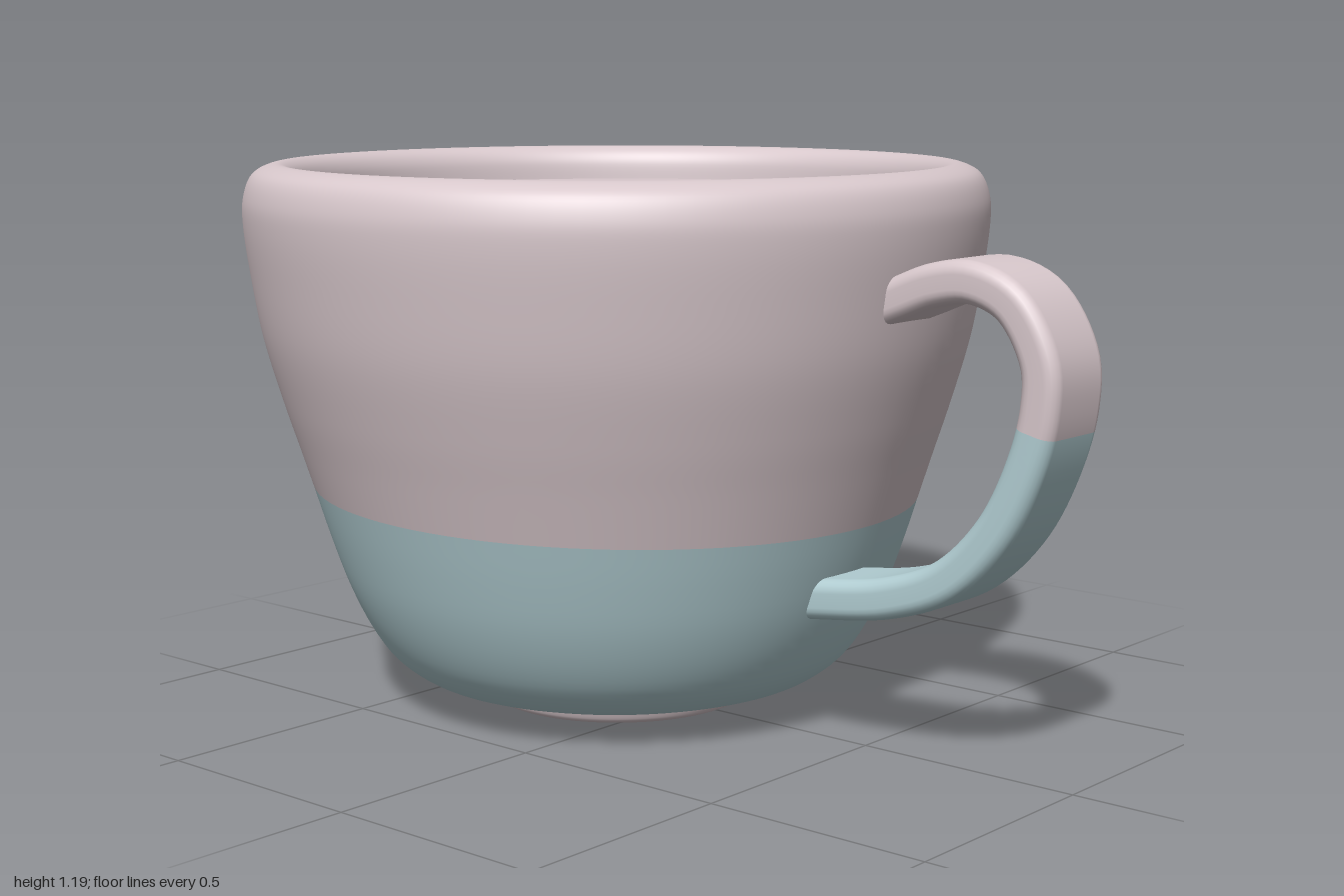
import * as THREE from 'three';

const CUP_X = -0.19; // axis of the cup body
const SEGMENTS = 96;

const spline = (pts, n) => new THREE.SplineCurve(pts.map(([x, y]) => new THREE.Vector2(x, y))).getPoints(n);
const points = (pts) => pts.map(([x, y]) => new THREE.Vector2(x, y));

function lathe(name, profile, material) {
  const mesh = new THREE.Mesh(new THREE.LatheGeometry(profile, SEGMENTS), material);
  mesh.name = name;
  mesh.position.x = CUP_X;
  return mesh;
}

// The line between the two glazes dips slightly towards the handle:
// slide the ring at height y along the wall slope.
function tiltRing(mesh, y, wallSlope) {
  const pos = mesh.geometry.attributes.position;
  for (let i = 0; i < pos.count; i++) {
    if (Math.abs(pos.getY(i) - y) > 1e-4) continue;
    const x = pos.getX(i), z = pos.getZ(i), r = Math.hypot(x, z);
    const dy = -0.031 * x;
    const k = (r + dy * wallSlope) / r;
    pos.setXYZ(i, x * k, y + dy, z * k);
  }
}

// Rounded-rectangle band swept along a path in the XY plane, coloured in two stretches
function handleGeometry(path, halfThick, halfWidth, radius, splitY) {
  const section = [];
  for (let q = 0; q < 4; q++) {
    const sx = q === 0 || q === 3 ? 1 : -1, sz = q < 2 ? 1 : -1;
    for (let k = 0; k <= 5; k++) {
      const a = (q + k / 5) * Math.PI / 2;
      section.push([sx * (halfThick - radius) + radius * Math.cos(a), sz * (halfWidth - radius) + radius * Math.sin(a)]);
    }
  }
  const steps = 72, m = section.length, position = [], index = [];
  // Put one ring exactly at the colour change
  let lo = 0.3, hi = 1;
  for (let i = 0; i < 40; i++) {
    const mid = (lo + hi) / 2;
    if (path.getPointAt(mid).y > splitY) lo = mid; else hi = mid;
  }
  const half = steps / 2;
  for (let i = 0; i <= steps; i++) {
    const u = i <= half ? lo * i / half : lo + (1 - lo) * (i - half) / half;
    const p = path.getPointAt(u), t = path.getTangentAt(u);
    for (const [n, z] of section) position.push(p.x - t.y * n, p.y + t.x * n, z);
  }
  for (let i = 0; i < steps; i++) {
    for (let j = 0; j < m; j++) {
      const a = i * m + j, b = i * m + (j + 1) % m;
      index.push(a, a + m, b, b, a + m, b + m);
    }
  }
  const g = new THREE.BufferGeometry();
  g.setAttribute('position', new THREE.Float32BufferAttribute(position, 3));
  g.setIndex(index);
  g.computeVertexNormals();
  g.addGroup(0, half * m * 6, 0);
  g.addGroup(half * m * 6, half * m * 6, 1);
  return g;
}

export function createModel() {
  const group = new THREE.Group();
  group.name = 'cup';
  const pink = new THREE.MeshStandardMaterial({ color: 0xd8c8cc, side: THREE.DoubleSide });
  pink.name = 'pale pink glaze';
  const blue = new THREE.MeshStandardMaterial({ color: 0xb3cfd4, side: THREE.DoubleSide });
  blue.name = 'pale blue glaze';

  // Body: blue lower bowl, pink upper wall
  const splitY = 0.478;
  const lower = lathe('lowerBody', spline([
    [0.415, 0.055], [0.46, 0.072], [0.515, 0.115], [0.56, 0.18], [0.603, 0.27], [0.64, 0.375], [0.672, splitY],
  ], 24), blue);
  const upper = lathe('upperBody', spline([
    [0.672, splitY], [0.701, 0.57], [0.736, 0.68], [0.775, 0.82], [0.799, 0.96], [0.811, 1.06],
    [0.809, 1.12], [0.788, 1.168], [0.742, 1.189], [0.71, 1.18], [0.691, 1.152], [0.685, 1.105],
  ], 66), pink);
  // Keep the neighbouring rings clear of the tilted colour line
  for (const mesh of [lower, upper]) {
    const pos = mesh.geometry.attributes.position;
    const reach = 0.1;
    for (let i = 0; i < pos.count; i++) {
      const y = pos.getY(i), w = 1 - Math.abs(y - splitY) / reach;
      if (w <= 0 || w > 0.999) continue;
      const x = pos.getX(i), z = pos.getZ(i), r = Math.hypot(x, z), dy = -0.031 * x * w;
      const k = (r + dy * 0.31) / r;
      pos.setXYZ(i, x * k, y + dy, z * k);
    }
    tiltRing(mesh, splitY, 0.31);
  }
  group.add(lower, upper);

  // Flat underside and foot ring
  group.add(lathe('underside', points([[0.28, 0.055], [0.415, 0.055]]), blue));
  group.add(lathe('foot', spline([[0.32, 0.056], [0.308, 0.03], [0.298, 0.008], [0.285, 0]].reverse(), 12), pink));
  group.add(lathe('footBase', points([[0, 0], [0.285, 0]]), pink));

  // Filled surface just below the rim
  const fill = new THREE.Mesh(new THREE.CircleGeometry(0.687, SEGMENTS), pink);
  fill.name = 'fillSurface';
  fill.rotation.x = -Math.PI / 2;
  fill.position.set(CUP_X, 1.11, 0);
  group.add(fill);

  // Handle, ends buried in the wall
  const path = new THREE.CatmullRomCurve3([
    [0.5, 0.905], [0.61, 0.948], [0.70, 0.982], [0.79, 0.992], [0.88, 0.955], [0.945, 0.85], [0.948, 0.76],
    [0.92, 0.65], [0.85, 0.51], [0.74, 0.4], [0.6, 0.343], [0.43, 0.315], [0.34, 0.305],
  ].map(([x, y]) => new THREE.Vector3(x, y, 0)));
  const handle = new THREE.Mesh(handleGeometry(path, 0.043, 0.094, 0.028, 0.715), [pink, blue]);
  handle.name = 'handle';
  group.add(handle);

  return group;
}
